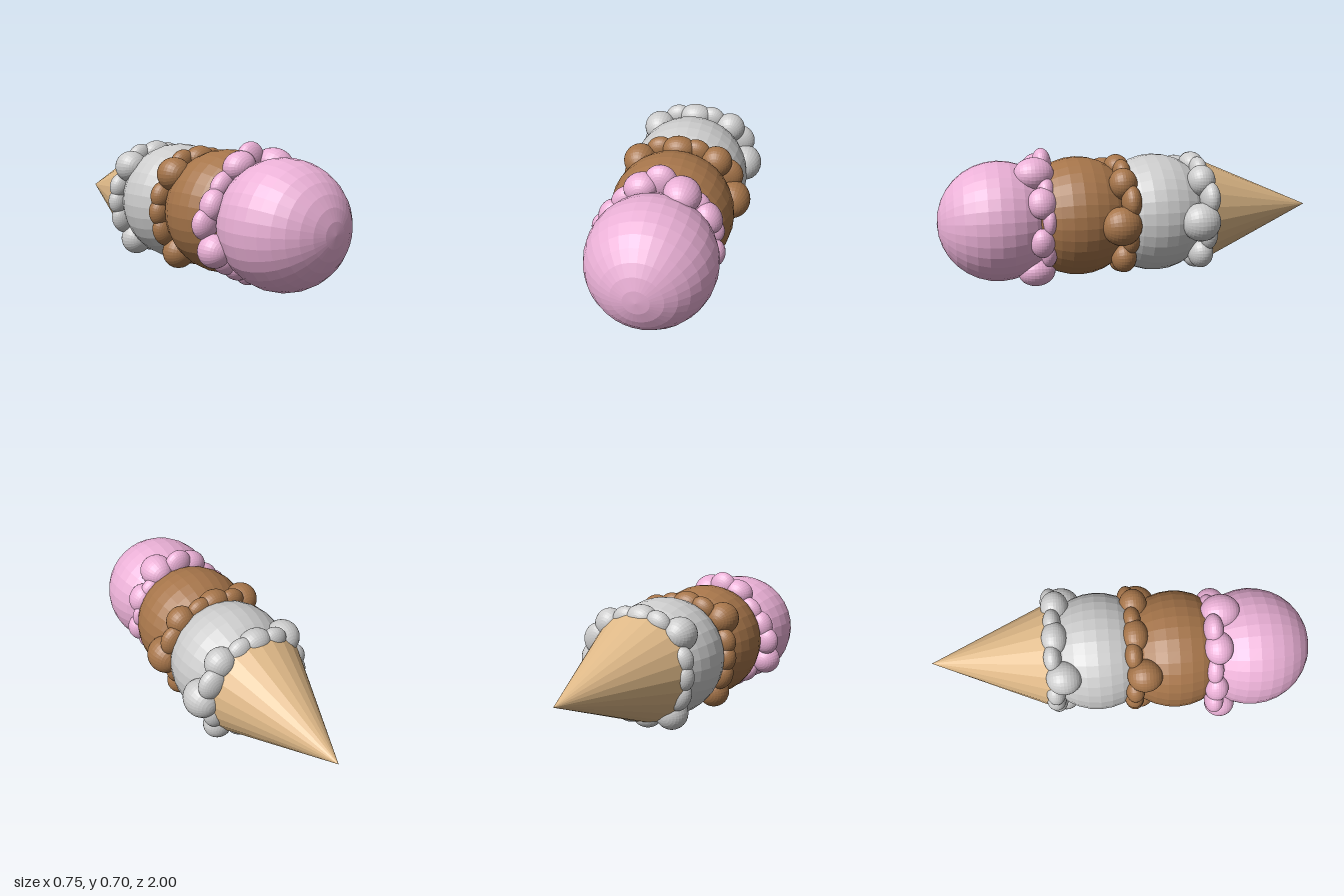
import * as THREE from 'three';

const material = (color) => new THREE.MeshStandardMaterial({ color, flatShading: true });

// Ellipsoid with its pole along z
function ball(name, mat, segments, rings) {
  const geometry = new THREE.SphereGeometry(1, segments, rings);
  geometry.rotateX(Math.PI / 2);
  const mesh = new THREE.Mesh(geometry, mat);
  mesh.name = name;
  return mesh;
}

// Drips: [angle in degrees, distance from axis, radial r, tangential r, z r, z offset]
const lowerDrips = [
  [0, 0.28, 0.092, 0.098, 0.1, -0.18],
  [25, 0.275, 0.075, 0.085, 0.05, -0.235],
  [46, 0.272, 0.08, 0.08, 0.072, -0.205],
  [70, 0.255, 0.06, 0.07, 0.045, -0.22],
  [91, 0.25, 0.065, 0.085, 0.065, -0.21],
  [114, 0.26, 0.06, 0.07, 0.045, -0.225],
  [137, 0.27, 0.085, 0.085, 0.09, -0.175],
  [162, 0.25, 0.06, 0.07, 0.05, -0.225],
  [182, 0.25, 0.055, 0.07, 0.05, -0.23],
  [206, 0.25, 0.06, 0.08, 0.05, -0.225],
  [234, 0.27, 0.085, 0.085, 0.08, -0.19],
  [262, 0.25, 0.06, 0.08, 0.055, -0.22],
  [288, 0.25, 0.06, 0.075, 0.06, -0.215],
  [318, 0.275, 0.075, 0.08, 0.065, -0.205],
  [341, 0.255, 0.06, 0.075, 0.045, -0.235],
];
const topDrips = [
  [10, 0.25, 0.055, 0.07, 0.035, -0.235],
  [30, 0.265, 0.06, 0.08, 0.07, -0.2],
  [47, 0.25, 0.06, 0.07, 0.045, -0.225],
  [67, 0.28, 0.08, 0.09, 0.1, -0.175],
  [90, 0.29, 0.08, 0.078, 0.05, -0.225],
  [109, 0.275, 0.07, 0.085, 0.072, -0.205],
  [135, 0.25, 0.055, 0.075, 0.045, -0.225],
  [160, 0.26, 0.06, 0.08, 0.06, -0.215],
  [179, 0.28, 0.068, 0.075, 0.05, -0.225],
  [204, 0.285, 0.08, 0.08, 0.08, -0.18],
  [230, 0.25, 0.055, 0.075, 0.05, -0.225],
  [250, 0.25, 0.055, 0.075, 0.055, -0.22],
  [270, 0.26, 0.07, 0.078, 0.05, -0.225],
  [295, 0.275, 0.075, 0.09, 0.095, -0.175],
  [328, 0.25, 0.055, 0.075, 0.04, -0.23],
  [346, 0.26, 0.06, 0.075, 0.06, -0.195],
];

// A round scoop with a ring of drips behind it
function makeScoop(name, color, center, drips) {
  const group = new THREE.Group();
  group.name = name;
  group.position.set(...center);
  const mat = material(color);
  const body = ball(name + 'Body', mat, 32, 16);
  body.scale.setScalar(0.31);
  group.add(body);
  drips.forEach(([degrees, distance, radial, tangential, depth, z], i) => {
    const angle = THREE.MathUtils.degToRad(degrees);
    const drip = ball(name + 'Drip' + (i + 1), mat, 28, 16);
    drip.scale.set(radial, tangential, depth);
    drip.rotation.z = angle;
    drip.position.set(Math.cos(angle) * distance, Math.sin(angle) * distance, z);
    group.add(drip);
  });
  return group;
}

export function createModel() {
  const model = new THREE.Group();
  model.name = 'iceCreamCone';

  // Cone lying on its side, tip to the back
  const coneGeometry = new THREE.ConeGeometry(0.28, 0.64, 24);
  coneGeometry.rotateX(-Math.PI / 2);
  const cone = new THREE.Mesh(coneGeometry, material(0xdeb887));
  cone.name = 'cone';
  cone.position.set(0, 0.345, -0.68);
  model.add(cone);

  // Three scoops stacked toward the front
  model.add(
    makeScoop('vanillaScoop', 0xcccccc, [0, 0.347, -0.12], lowerDrips),
    makeScoop('chocolateScoop', 0xa6754a, [-0.018, 0.345, 0.285], lowerDrips),
    makeScoop('strawberryScoop', 0xeab0d6, [-0.032, 0.335, 0.69], topDrips),
  );
  return model;
}
